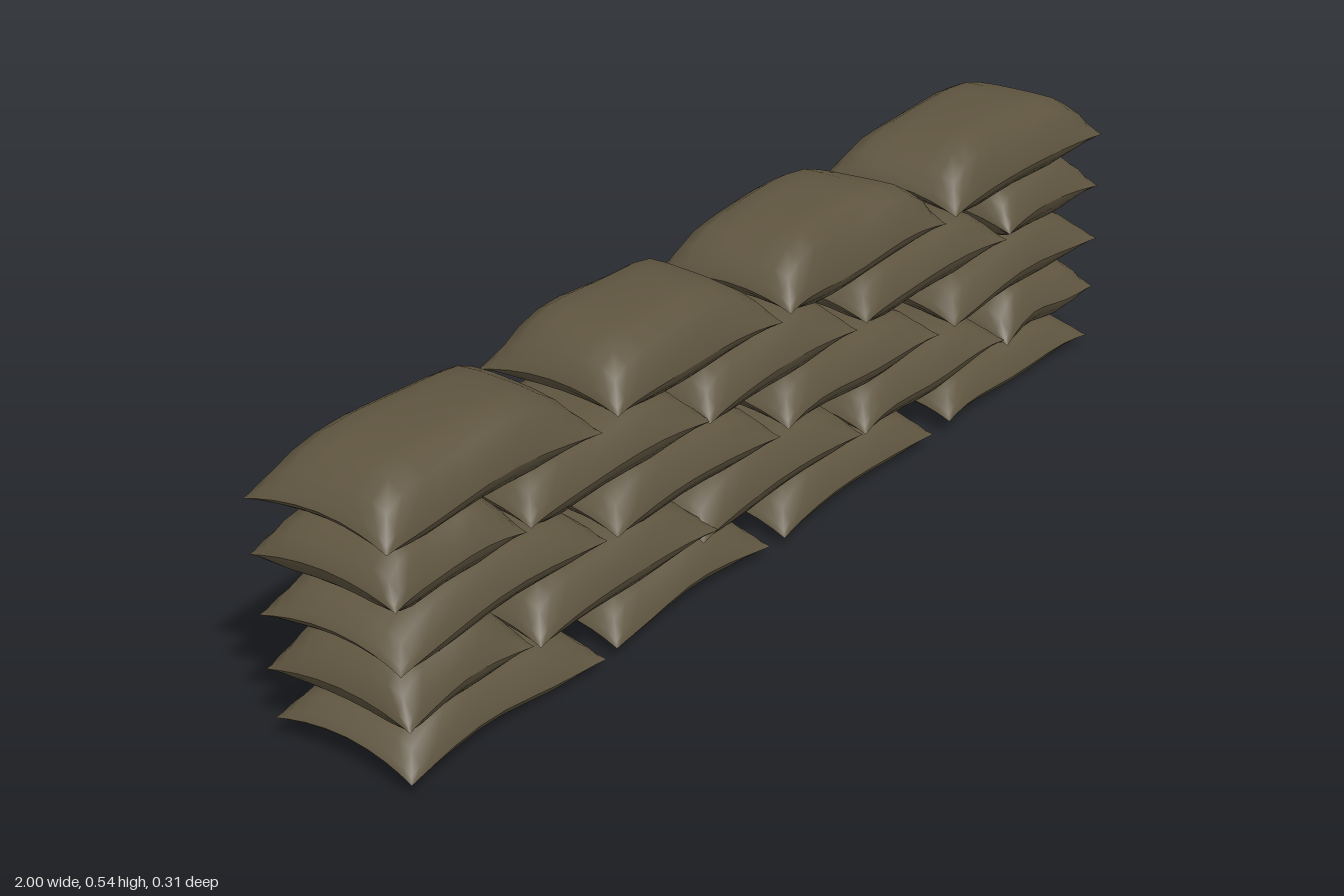
import * as THREE from 'three';
import { mergeGeometries } from 'three/addons/utils/BufferGeometryUtils.js';

// Each course: bottom, seam and crown heights, half depth, and bag spans along x
const COURSES = [
  { bottom: 0.0, seam: 0.032, top: 0.1, depth: 0.143,
    bags: [[-0.97, -0.5], [-0.47, -0.05], [-0.01, 0.45], [0.5, 0.98]] },
  { bottom: 0.085, seam: 0.135, top: 0.21, depth: 0.15,
    bags: [[-0.97, -0.68], [-0.67, -0.21], [-0.25, 0.21], [0.22, 0.67], [0.68, 0.98]] },
  { bottom: 0.19, seam: 0.238, top: 0.31, depth: 0.147,
    bags: [[-0.98, -0.49], [-0.47, -0.03], [-0.01, 0.45], [0.5, 0.99]] },
  { bottom: 0.295, seam: 0.348, top: 0.42, depth: 0.15,
    bags: [[-0.99, -0.69], [-0.68, -0.22], [-0.23, 0.19], [0.22, 0.67], [0.68, 0.99]] },
  { bottom: 0.4, seam: 0.447, top: 0.537, depth: 0.146,
    bags: [[-1, -0.5], [-0.46, -0.02], [0, 0.47], [0.5, 1]] },
];

// Small seeded generator for the uneven filling
function seeded(seed) {
  return () => {
    seed = (seed * 16807) % 2147483647;
    return seed / 2147483647;
  };
}

// One cloth panel: a grid bulging up (sign 1) or down (sign -1) from the seam
function panel(sign, halfLength, course, look) {
  const geometry = new THREE.PlaneGeometry(2, 2, 12, 10);
  geometry.rotateX(-sign * Math.PI / 2);
  const p = geometry.attributes.position;
  const height = sign > 0 ? course.top - course.seam + look.lift : course.seam - course.bottom;
  for (let i = 0; i < p.count; i++) {
    // crowd the grid lines towards the seam
    const u = Math.sin(p.getX(i) * Math.PI / 2);
    const v = Math.sin(p.getZ(i) * Math.PI / 2);
    // seam edges pull inwards between the four corner ears
    const x = u * halfLength * (1 - 0.045 * (1 - v * v));
    const z = v * course.depth * (1 - 0.1 * (1 - u * u));
    const end = Math.abs(u);
    const seamY = course.seam + 0.014 * end ** 4 * (1 - v * v) - 0.006 * end ** 4 * v * v
      + look.tilt * u + look.wave * Math.sin(u * 4 + look.phase) * v;
    const fullness = Math.pow(Math.max(0, (1 - u ** 4) * (1 - v ** 6)), 0.8);
    // shallow folds fade out at the seam
    const fold = 1 + 0.07 * Math.sin(u * 5 + v * 2.5 + look.phase) * (u * u + v * v);
    const y = seamY + sign * height * fullness * fold;
    p.setXYZ(i, x, Math.max(0, y), z);
  }
  geometry.computeVertexNormals();
  return geometry;
}

export function createModel() {
  const wall = new THREE.Group();
  wall.name = 'sandbagWall';
  const burlap = new THREE.MeshStandardMaterial({ color: 0x5f5540 });
  burlap.name = 'olive burlap';
  const random = seeded(4127);
  const spread = (amount) => (random() * 2 - 1) * amount;

  COURSES.forEach((course, row) => {
    const layer = new THREE.Group();
    layer.name = `course${row + 1}`;
    course.bags.forEach(([x0, x1], i) => {
      const look = { tilt: spread(0.007), wave: spread(0.008), phase: random() * 6, lift: spread(0.005) };
      const half = (x1 - x0) / 2;
      const bag = new THREE.Mesh(
        mergeGeometries([panel(1, half, course, look), panel(-1, half, course, look)]), burlap);
      bag.name = `sandbag${row + 1}_${i + 1}`;
      bag.position.set((x0 + x1) / 2, 0, spread(0.004));
      layer.add(bag);
    });
    wall.add(layer);
  });
  return wall;
}
